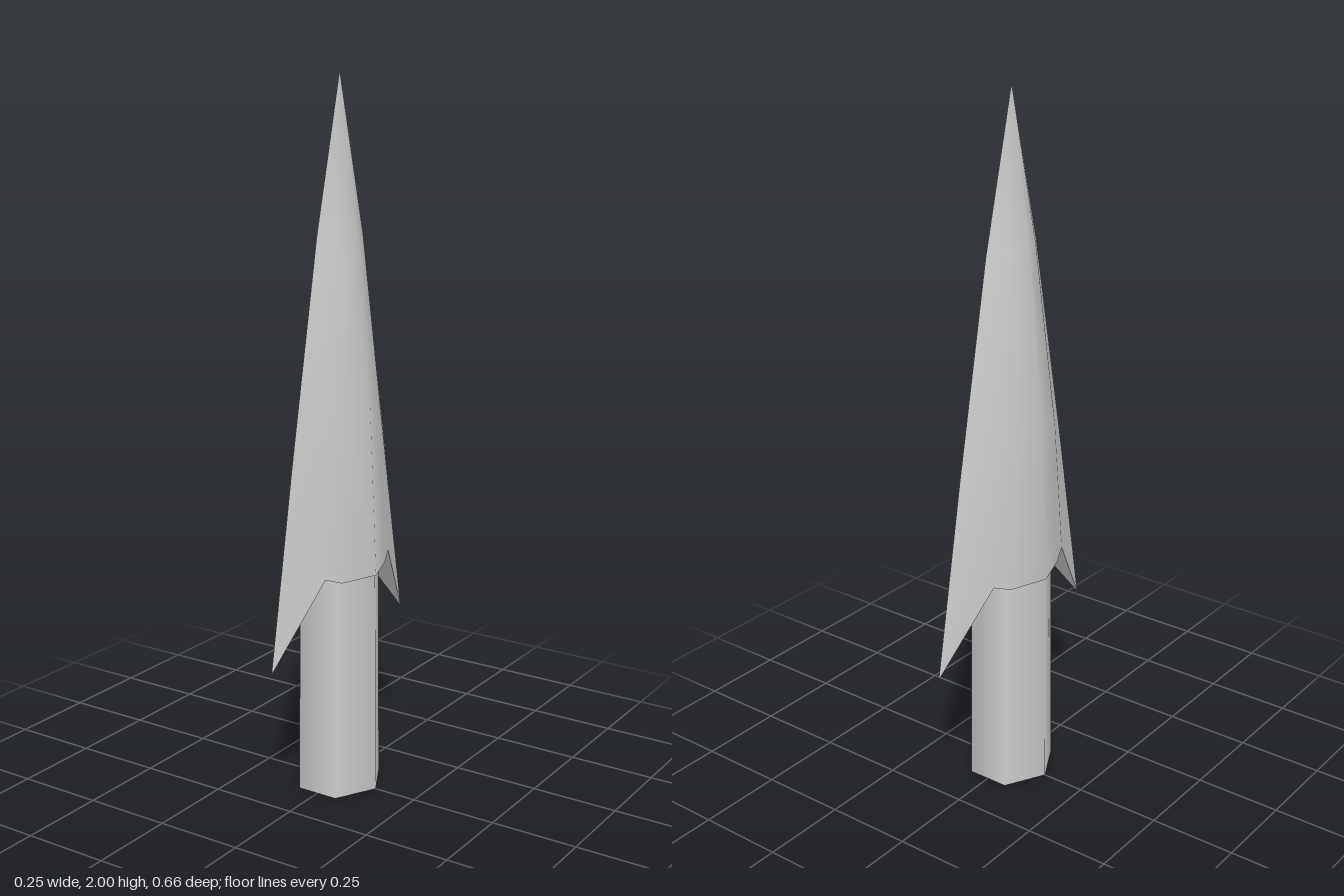
import * as THREE from 'three';
import { toCreasedNormals } from 'three/addons/utils/BufferGeometryUtils.js';

const material = new THREE.MeshStandardMaterial({ color: 0xcccccc });

// One quarter of the blade, tip to base; each ring runs from the broad ridge to the cutting edge.
const rings = [
  [[0, 2, 0], [0, 2, 0], [0, 2, 0], [0, 2, 0]],
  [[0.057, 1.57, 0], [0.046, 1.57, 0.034], [0.034, 1.57, 0.062], [0, 1.57, 0.11]],
  [[0.098, 1.13, 0], [0.08, 1.09, 0.065], [0.06, 1.05, 0.12], [0, 0.98, 0.228]],
  [[0.12, 0.64, 0], [0.08, 0.64, 0.11], [0.06, 0.66, 0.16], [0, 0.43, 0.33]],
];

function bladeGeometry() {
  const positions = [];
  const triangle = (a, b, c) => {
    const [p, q, r] = [a, b, c].map((v) => new THREE.Vector3(...v));
    if (q.clone().sub(p).cross(r.clone().sub(p)).length() > 1e-7) positions.push(...a, ...b, ...c);
  };
  const quad = (a, b, c, d) => { triangle(a, b, c); triangle(a, c, d); };

  // Mirror each ring front to back, then left to right
  const left = rings.map((ring) => [
    ...ring.slice().reverse(),
    ...ring.slice(1).map(([x, y, z]) => [x, y, -z]),
  ]);
  const right = left.map((ring) => ring.map(([x, y, z]) => [-x, y, z]));

  for (let r = 0; r < left.length - 1; r++) {
    for (let i = 0; i < 6; i++) {
      quad(left[r][i], left[r + 1][i], left[r + 1][i + 1], left[r][i + 1]);
      quad(right[r][i], right[r][i + 1], right[r + 1][i + 1], right[r + 1][i]);
    }
  }
  // Underside with the two barbs
  const p = left[left.length - 1];
  const q = right[right.length - 1];
  for (let i = 0; i < 6; i++) quad(p[i], q[i], q[i + 1], p[i + 1]);

  const geometry = new THREE.BufferGeometry();
  geometry.setAttribute('position', new THREE.Float32BufferAttribute(positions, 3));
  return toCreasedNormals(geometry, THREE.MathUtils.degToRad(60));
}

export function createModel() {
  const group = new THREE.Group();
  group.name = 'barbedSpearhead';

  const blade = new THREE.Mesh(bladeGeometry(), material);
  blade.name = 'blade';

  // Six-sided socket with a corner on each side
  const height = 0.66;
  const socketGeometry = new THREE.CylinderGeometry(0.117, 0.123, height, 6, 1, false, Math.PI / 6);
  socketGeometry.scale(1, 1, 1.08).translate(0, height / 2, 0);
  const socket = new THREE.Mesh(socketGeometry, material);
  socket.name = 'socket';

  group.add(blade, socket);
  return group;
}
